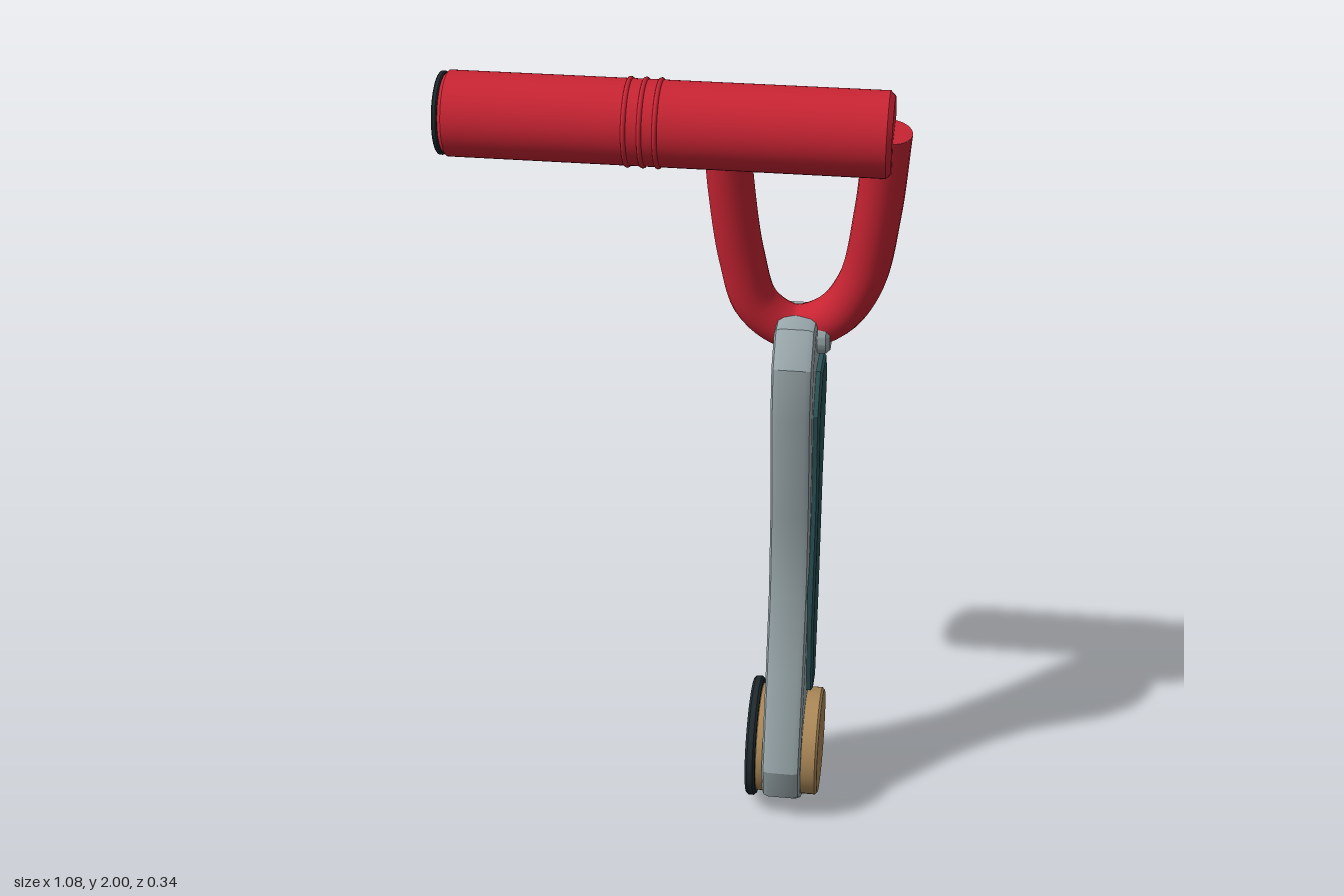
import * as THREE from 'three';
import { toCreasedNormals } from 'three/addons/utils/BufferGeometryUtils.js';

const material = (name, color) => {
  const m = new THREE.MeshStandardMaterial({ color });
  m.name = name;
  return m;
};

export function createModel() {
  const red = material('red', 0xc92433);
  const grey = material('pale grey', 0x9caaae);
  const teal = material('dark teal', 0x2c5458);
  const tan = material('tan', 0xab8858);
  const dark = material('near black', 0x1f292d);

  const group = new THREE.Group();
  const add = (name, geometry, mat, x = 0, y = 0, z = 0) => {
    const mesh = new THREE.Mesh(geometry, mat);
    mesh.name = name;
    mesh.position.set(x, y, z);
    group.add(mesh);
    return mesh;
  };

  // Disc or rod along x from x0 to x1 with chamfered rims
  const rod = (x0, x1, r, bevel) => {
    const profile = [[0, x0], [r - bevel, x0], [r, x0 + bevel], [r, x1 - bevel], [r - bevel, x1], [0, x1]];
    const g = new THREE.LatheGeometry(profile.map(([a, b]) => new THREE.Vector2(a, b)), 48);
    return toCreasedNormals(g.rotateZ(-Math.PI / 2), 0.5);
  };

  // Plate with a (z, y) outline, bevelled, from x0 to x1
  const plate = (outline, x0, x1, bevel, segments) => {
    const shape = new THREE.Shape(outline.map(([z, y]) => new THREE.Vector2(-z, y)));
    const g = new THREE.ExtrudeGeometry(shape, {
      depth: x1 - x0 - 2 * bevel, bevelThickness: bevel, bevelSize: bevel,
      bevelOffset: -bevel, bevelSegments: segments,
    });
    return toCreasedNormals(g.rotateY(Math.PI / 2).translate(x0 + bevel, 0, 0), 0.45);
  };

  // Grip with raised rings and an end cap
  const gripY = 1.9, gripZ = 0.067;
  add('grip', rod(-0.533, 0.498, 0.099, 0.012), red, 0, gripY, gripZ);
  add('gripEndCap', rod(-0.543, -0.53, 0.096, 0.003), dark, 0, gripY, gripZ);
  for (const x of [-0.103, -0.067, -0.032]) {
    add('gripRing', new THREE.TorusGeometry(0.098, 0.006, 8, 48).rotateY(Math.PI / 2), red, x, gripY, gripZ);
  }

  // Bent loop joining the grip to the arm
  const loop = new THREE.CatmullRomCurve3([
    [0.12, 1.88, 0.055], [0.128, 1.74, 0.03], [0.152, 1.55, -0.002], [0.19, 1.42, -0.022],
    [0.275, 1.362, -0.032], [0.37, 1.4, -0.026], [0.434, 1.5, -0.01], [0.468, 1.69, 0.022],
    [0.486, 1.905, 0.06],
  ].map((p) => new THREE.Vector3(...p)));
  const loopRadius = 0.055;
  add('loop', new THREE.TubeGeometry(loop, 64, loopRadius, 20), red);
  const loopEnd = add('loopEnd', new THREE.CircleGeometry(loopRadius, 20), red);
  loopEnd.position.copy(loop.getPoint(1));
  loopEnd.quaternion.setFromUnitVectors(new THREE.Vector3(0, 0, 1), loop.getTangent(1));

  // Faceted arm
  add('arm', plate([
    [0.035, 0.004], [-0.07, 0.012], [-0.145, 0.1], [-0.166, 0.23], [-0.125, 0.43], [-0.1, 0.66],
    [-0.12, 0.94], [-0.157, 1.21], [-0.143, 1.33], [-0.08, 1.406], [0.077, 1.406], [0.133, 1.325],
    [0.132, 1.19], [0.075, 0.89], [0.066, 0.66], [0.105, 0.44], [0.168, 0.18], [0.135, 0.08],
  ], 0.238, 0.338, 0.018, 2), grey);

  // Inlay on the arm's outer face
  add('inlay', plate([
    [0.035, 1.278], [-0.07, 1.278], [-0.12, 1.205], [-0.085, 0.94], [-0.08, 0.59],
    [-0.055, 0.345], [0.02, 0.345], [0.06, 0.575], [0.04, 0.92], [0.082, 1.18],
  ], 0.33, 0.355, 0.006, 1), teal);

  // Hinge pin under the loop
  add('hingePin', rod(0.32, 0.368, 0.05, 0.01), grey, 0, 1.357, -0.017);

  // Pivot hub and its backing disc
  add('pivotHub', rod(0.215, 0.38, 0.141, 0.006), tan, 0, 0.172, -0.002);
  add('pivotBackDisc', rod(0.194, 0.22, 0.157, 0.006), dark, 0, 0.174, -0.002);

  return group;
}
